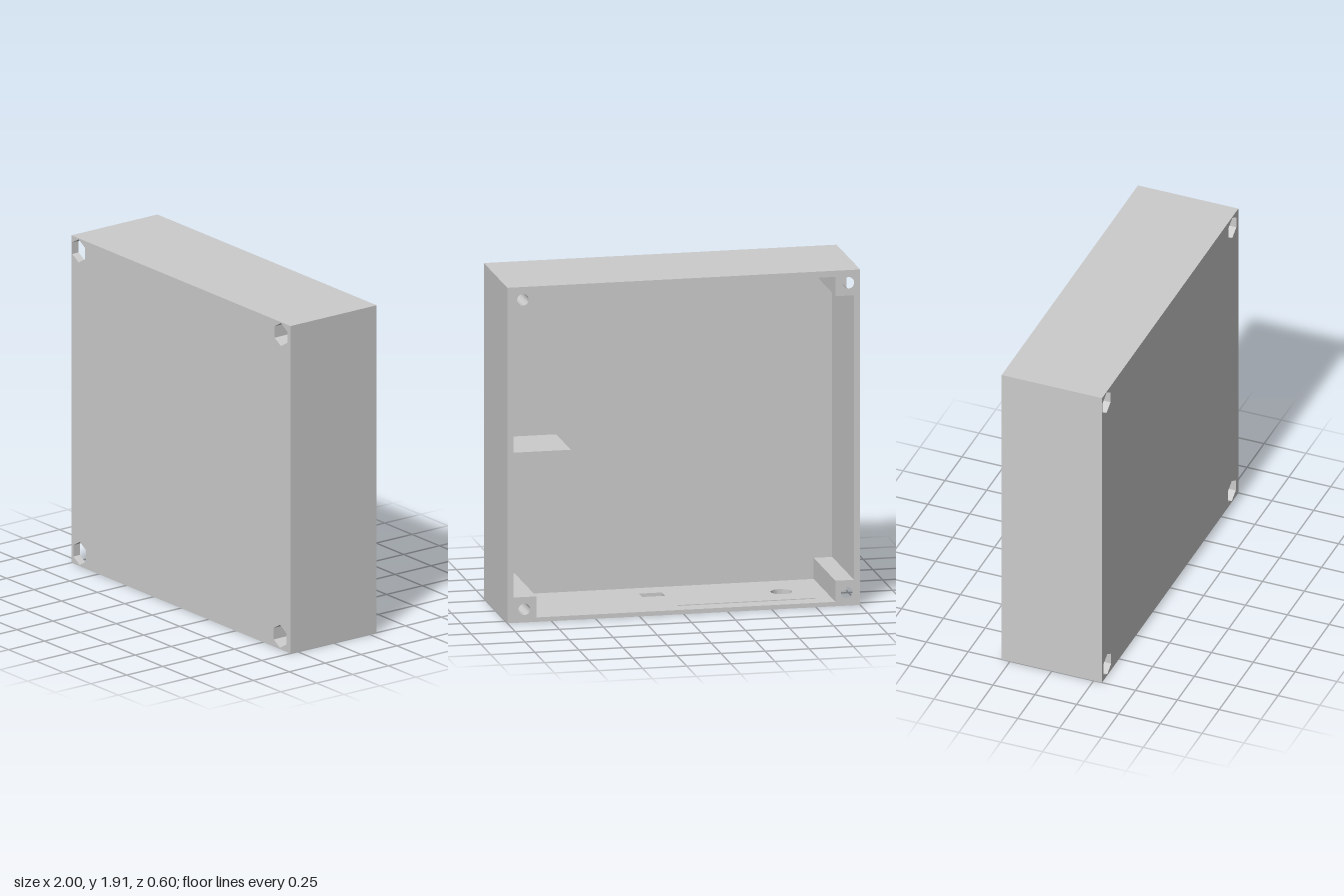
import * as THREE from 'three';
import { toCreasedNormals } from 'three/addons/utils/BufferGeometryUtils.js';

const H = 1.91;             // height
const BACK = -0.3, FRONT = 0.3;
const WALL = 0.035;         // side and top wall thickness
const FLOOR = 0.025;        // floor thickness
const PLATE = 0.255;        // inner face of the front plate
const NUT = 0.05;           // bottom of the hexagonal nut recesses
const LEFT = 0.835, RIGHT = -0.86; // inner faces of the corner bosses

// screw positions, per side: bottom then top
const screws = {
  left: [[0.904, 0.075], [0.912, 1.837]],
  right: [[-0.923, 0.075], [-0.933, 1.837]],
};

const material = new THREE.MeshStandardMaterial({ color: 0xcccccc });

function polygon(points) {
  return new THREE.Shape(points.map(([x, y]) => new THREE.Vector2(x, y)));
}

function rectangle(x0, y0, x1, y1) {
  return polygon([[x0, y0], [x1, y0], [x1, y1], [x0, y1]]);
}

// regular polygon hole with one corner pointing up
function hole(x, y, r, sides) {
  const pts = [];
  for (let i = 0; i < sides; i++) {
    const a = Math.PI / 2 - (i / sides) * Math.PI * 2;
    pts.push(new THREE.Vector2(x + r * Math.cos(a), y + r * Math.sin(a)));
  }
  return new THREE.Path(pts);
}
const hexHole = ([x, y]) => hole(x, y, 0.067, 6);
const screwHole = ([x, y]) => hole(x, y, 0.033, 32);

// extrudes a shape along z from z0 to z1
function slab(shape, z0, z1, holes = []) {
  shape.holes.push(...holes);
  const geo = new THREE.ExtrudeGeometry(shape, { depth: z1 - z0, bevelEnabled: false });
  geo.translate(0, 0, z0);
  return toCreasedNormals(geo, 0.5);
}

export function createModel() {
  const model = new THREE.Group();
  model.name = 'enclosure';
  const add = (name, geometry) => {
    const mesh = new THREE.Mesh(geometry, material);
    mesh.name = name;
    model.add(mesh);
    return mesh;
  };

  // front plate with nut recesses
  const all = [...screws.left, ...screws.right];
  add('frontPlate', slab(rectangle(-1, 0, 1, H), PLATE, FRONT, all.map(hexHole)));

  // side walls with their corner bosses: hexagonal bore in front, round bore behind
  const sides = [
    { name: 'left', s: 1, inner: LEFT, low: 0.145, high: H - 0.16 },
    { name: 'right', s: -1, inner: RIGHT, low: 0.145, high: H - 0.145 },
  ];
  for (const { name, s, inner, low, high } of sides) {
    const wall = s * (1 - WALL);
    const outline = () => polygon([
      [s, 0], [s, H], [inner, H], [inner, high],
      [wall, high], [wall, low], [inner, low], [inner, 0],
    ]);
    add(name + 'WallNutSection', slab(outline(), NUT, PLATE, screws[name].map(hexHole)));
    add(name + 'WallScrewSection', slab(outline(), BACK, NUT, screws[name].map(screwHole)));
  }

  // top wall between the bosses
  add('topWall', slab(rectangle(RIGHT, H - WALL, LEFT, H), BACK, PLATE));

  // floor between the bosses with slot, port and round cutouts (drawn in x, -z)
  const floorShape = rectangle(RIGHT, -PLATE, LEFT, -BACK);
  const cutRect = (x, z, w, d) => new THREE.Path(
    rectangle(x - w / 2, -z - d / 2, x + w / 2, -z + d / 2).getPoints());
  const floorGeo = slab(floorShape, 0, FLOOR, [
    cutRect(-0.38, -0.195, 0.78, 0.018),
    cutRect(0.095, 0.085, 0.13, 0.08),
    hole(-0.62, 0, 0.06, 40),
  ]);
  floorGeo.rotateX(-Math.PI / 2);
  add('floor', floorGeo);

  // block inside, against the left wall and the front plate
  const depth = 0.375;
  const block = add('innerBlock', new THREE.BoxGeometry(0.365, 0.51, depth));
  block.position.set(1 - WALL - 0.365 / 2, 0.67, PLATE - depth / 2);

  return model;
}
